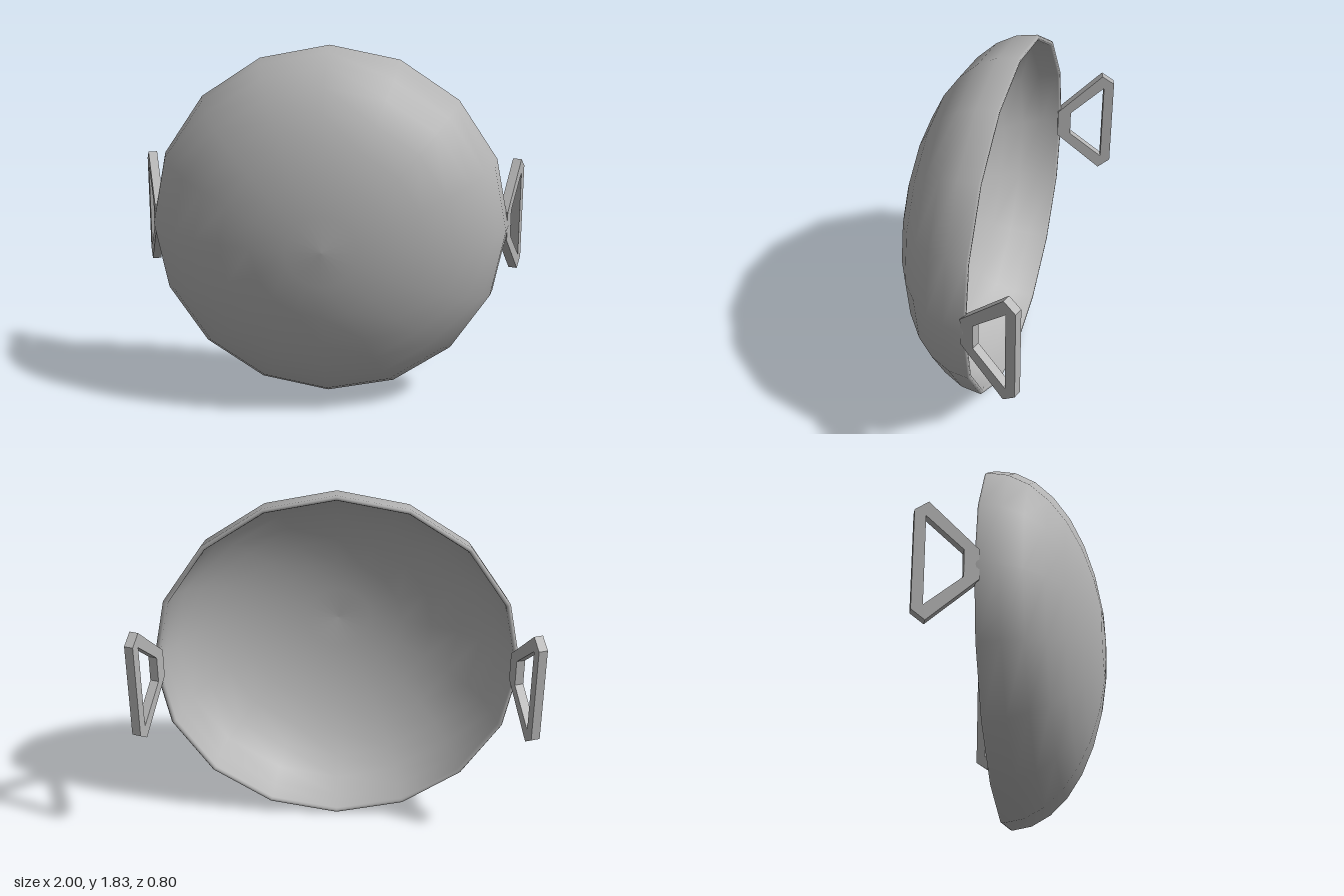
import * as THREE from 'three';

export function createModel() {
  const model = new THREE.Group();
  const metal = new THREE.MeshStandardMaterial({ color: 0xb4b4b4 });
  metal.name = 'grey metal';

  // Everything is built around the bowl's axis, then lifted to stand on the floor
  const pan = new THREE.Group();
  pan.name = 'pan';
  pan.position.y = 0.92;
  model.add(pan);

  // Bowl: inner half-ellipse, rounded rim, outer half-ellipse, turned with 16 sides
  const STEPS = 8;
  const arc = (radius, depth, i) => {
    const a = (i / STEPS) * Math.PI / 2;
    return new THREE.Vector2(radius * Math.sin(a), -0.12 + depth * Math.cos(a));
  };
  const profile = [];
  for (let i = 0; i <= STEPS; i++) profile.push(arc(0.89, 0.495, i));
  profile.push(new THREE.Vector2(0.896, -0.13), new THREE.Vector2(0.909, -0.13));
  for (let i = STEPS; i >= 0; i--) profile.push(arc(0.915, 0.52, i));
  const bowl = new THREE.Mesh(new THREE.LatheGeometry(profile, 16), metal);
  bowl.name = 'bowl';
  bowl.rotation.x = Math.PI / 2;
  pan.add(bowl);

  // Handle plate: u runs away from the rim, v runs up
  const points = (list) => list.map(([u, v]) => new THREE.Vector2(u, v));
  const plate = new THREE.Shape(points([
    [-0.01, -0.075], [0.225, -0.298], [0.289, -0.25],
    [0.289, 0.25], [0.225, 0.298], [-0.01, 0.075],
  ]));
  plate.holes.push(new THREE.Path(points([
    [0.06, -0.068], [0.06, 0.068], [0.236, 0.224], [0.236, -0.224],
  ])));
  const handleGeometry = new THREE.ExtrudeGeometry(plate, { depth: 0.045, bevelEnabled: false });

  // Lean the plate outwards and seat it on the rim
  const tilt = THREE.MathUtils.degToRad(18);
  const s = Math.sin(tilt), c = Math.cos(tilt);
  handleGeometry.applyMatrix4(new THREE.Matrix4().makeBasis(
    new THREE.Vector3(s, 0, -c), new THREE.Vector3(0, 1, 0), new THREE.Vector3(c, 0, s),
  ).setPosition(0.868, 0, -0.13));

  // The handle is symmetric in y, so half a turn about z gives the opposite one
  for (const [name, turn] of [['leftHandle', 0], ['rightHandle', Math.PI]]) {
    const handle = new THREE.Mesh(handleGeometry, metal);
    handle.name = name;
    handle.rotation.z = turn;
    pan.add(handle);
  }

  return model;
}
